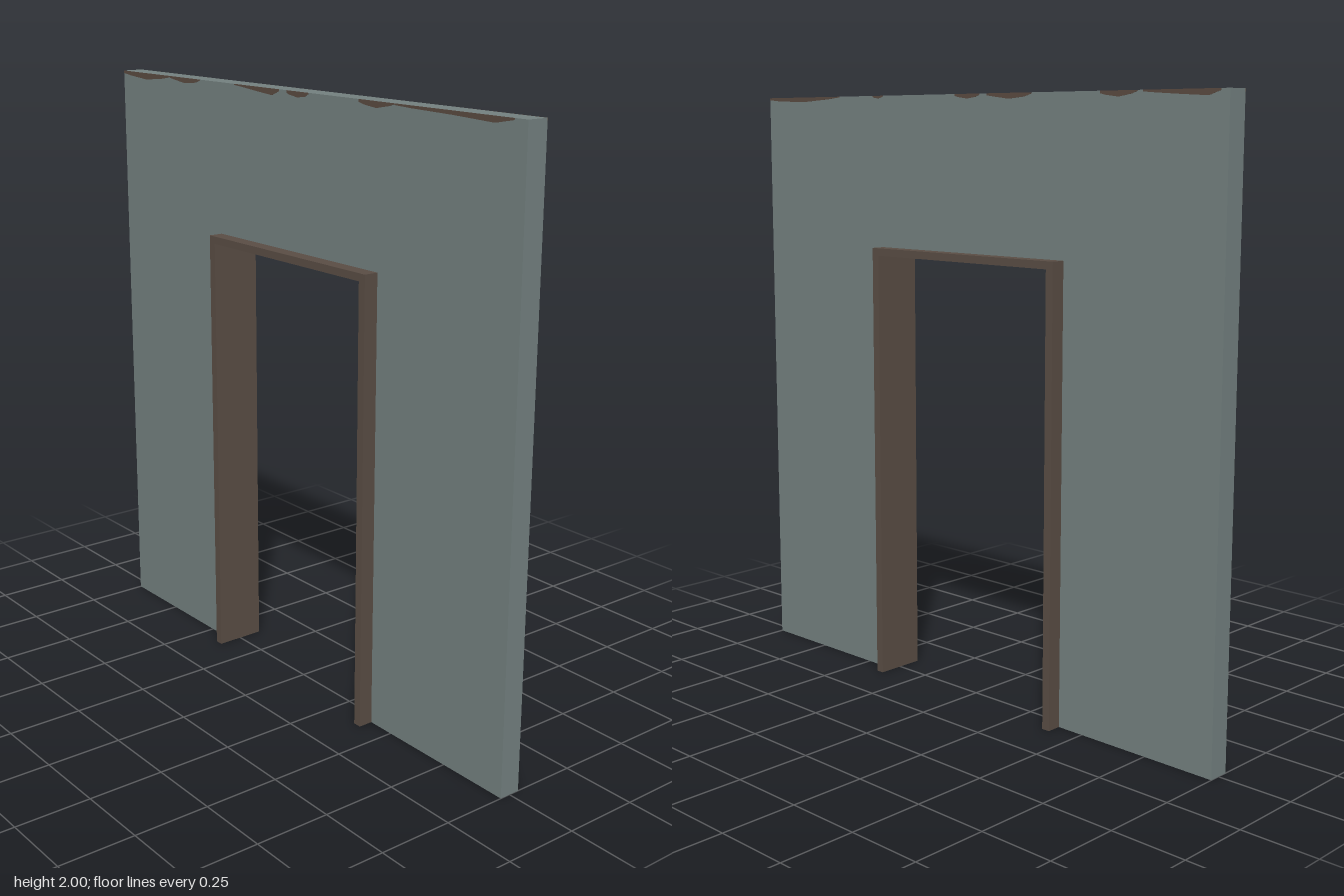
import * as THREE from 'three';

const W = 1, H = 2, T = 0.036;            // wall half width, height, half thickness
const FO = 0.405, FI = 0.377, FD = 0.085; // frame outer/inner half width, half depth
const TOP = 1.495, INNER = 1.47;

// Extruded upside-down U, centred on z
function archway(halfW, top, innerHalfW, innerTop, halfDepth) {
  const points = [
    [-halfW, 0], [-innerHalfW, 0], [-innerHalfW, innerTop], [innerHalfW, innerTop],
    [innerHalfW, 0], [halfW, 0], [halfW, top], [-halfW, top],
  ].map(([x, y]) => new THREE.Vector2(x, y));
  const geo = new THREE.ExtrudeGeometry(new THREE.Shape(points), { depth: 2 * halfDepth, bevelEnabled: false });
  return geo.translate(0, 0, -halfDepth);
}

// Shallow ragged stain hanging from the top edge: x0, x1, depth at three points
function stain([x0, x1, a, b, c]) {
  const s = new THREE.Shape();
  const at = (t) => x0 + (x1 - x0) * t;
  s.moveTo(x0, H);
  s.lineTo(x0, H - a * 0.6);
  s.lineTo(at(0.15), H - a);
  s.lineTo(at(0.5), H - b);
  s.lineTo(at(0.85), H - c);
  s.lineTo(x1, H - c * 0.3);
  s.lineTo(x1, H);
  return new THREE.ExtrudeGeometry(s, { depth: 0.002, bevelEnabled: false });
}

export function createModel() {
  const group = new THREE.Group();
  const material = (name, color) => {
    const m = new THREE.MeshStandardMaterial({ color });
    m.name = name;
    return m;
  };
  const paint = material('grey green paint', 0x73807f);
  const wood = material('dark brown wood', 0x594d44);
  const grime = material('brown grime', 0x5a4a40);

  const add = (name, geo, mat) => {
    const mesh = new THREE.Mesh(geo, mat);
    mesh.name = name;
    group.add(mesh);
    return mesh;
  };

  add('wall', archway(W, H, FO - 0.005, TOP - 0.005, T), paint);
  add('doorFrame', archway(FO, TOP, FI, INNER, FD), wood);

  // Grime along the top edge of both faces
  const front = [
    [-1, -0.7, 0.014, 0.022, 0.012], [-0.7, -0.52, 0.010, 0.018, 0.012],
    [-0.32, -0.08, 0.006, 0.014, 0.021], [-0.04, 0.07, 0.013, 0.018, 0.013],
    [0.31, 0.47, 0.014, 0.020, 0.010], [0.47, 0.95, 0.008, 0.012, 0.019],
  ];
  const back = [
    [-1, -0.62, 0.012, 0.016, 0.008], [-0.45, -0.40, 0.006, 0.009, 0.006],
    [-0.06, 0.05, 0.010, 0.015, 0.010], [0.08, 0.27, 0.010, 0.018, 0.012],
    [0.54, 0.68, 0.012, 0.018, 0.010], [0.70, 0.97, 0.008, 0.014, 0.019],
  ];
  front.forEach((s) => { add('frontGrime', stain(s), grime).position.z = T - 0.001; });
  back.forEach((s) => {
    const mesh = add('backGrime', stain(s), grime);
    mesh.rotation.y = Math.PI;
    mesh.position.z = -T + 0.001;
  });
  return group;
}
